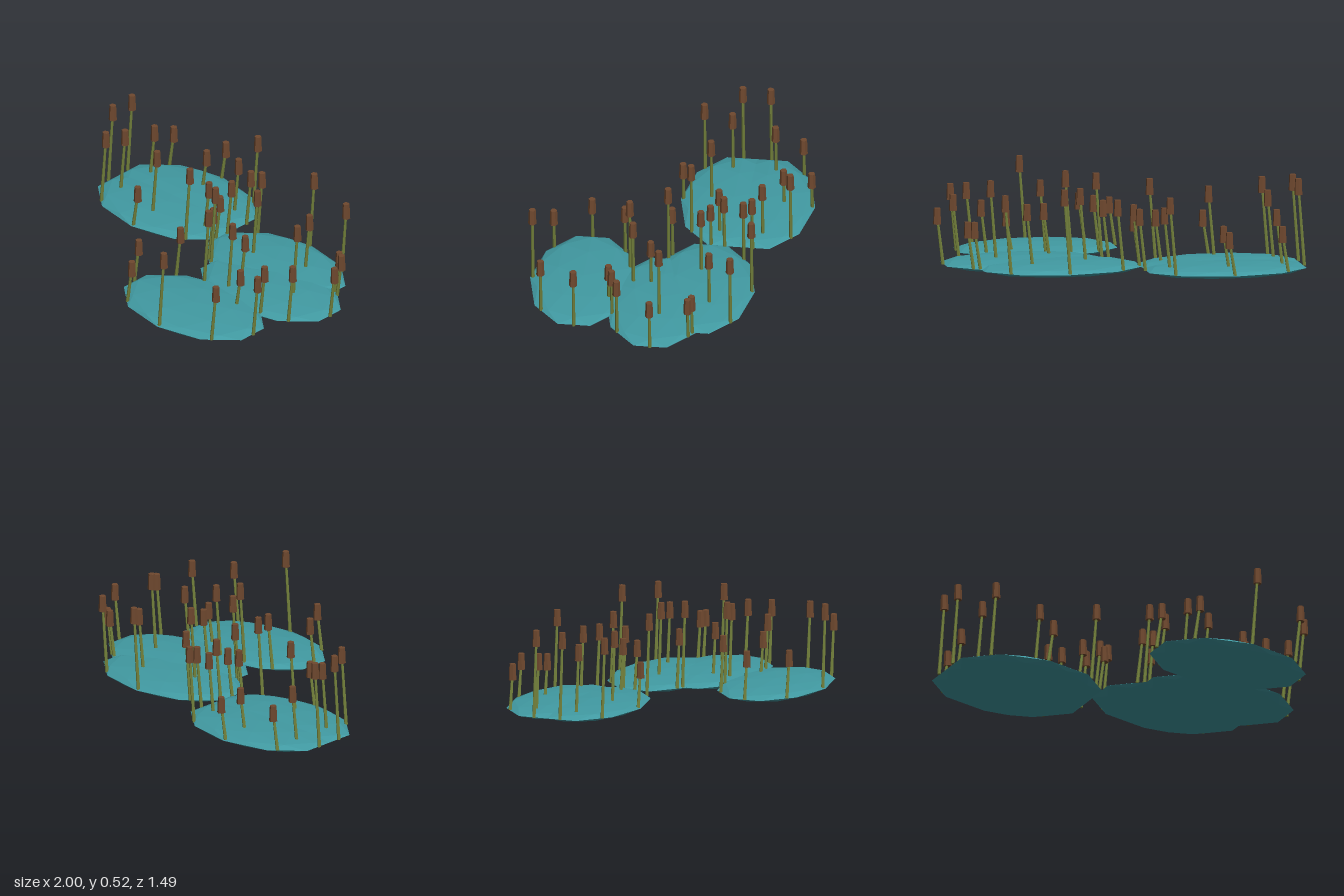
import * as THREE from 'three';

const flat = (name, color) => {
  const m = new THREE.MeshStandardMaterial({ color, flatShading: true });
  m.name = name;
  return m;
};

// Each pool: centre x, z, and head-top heights of its eight reeds,
// counted from the left-hand (+x) reed towards the front, 45 degrees apart.
const POOLS = [
  [-0.545, -0.446, [0.38, 0.34, 0.45, 0.43, 0.52, 0.29, 0.28, 0.47]],
  [-0.545, -0.291, [0.38, 0.49, 0.29, 0.48, 0.52, 0.36, 0.29, 0.39]],
  [0.332, -0.215, [0.30, 0.495, 0.345, 0.365, 0.31, 0.43, 0.51, 0.475]],
  [0.497, 0, [0.35, 0.39, 0.28, 0.50, 0.515, 0.465, 0.40, 0.30]],
  [0.33, 0.44, [0.41, 0.38, 0.505, 0.30, 0.305, 0.35, 0.46, 0.345]],
];
const RIM_X = 0.446, RIM_Z = 0.278, RIM_Y = 0.036;
const HEAD_HEIGHT = 0.09, LEAN = 0.033;

export function createModel() {
  const water = flat('teal water', 0x419aa2);
  const green = flat('olive stem', 0x74823c);
  const brown = flat('brown seed head', 0x70492f);
  const root = new THREE.Group();
  root.name = 'reedPools';

  // Faceted lens with a ten-sided rim
  const poolGeo = new THREE.IcosahedronGeometry(1, 1);
  poolGeo.rotateZ(Math.atan(2 / (1 + Math.sqrt(5))));
  poolGeo.scale(0.464, RIM_Y, 0.294);
  poolGeo.computeVertexNormals();

  const headGeo = new THREE.CylinderGeometry(0.019, 0.023, HEAD_HEIGHT, 6);
  const stemGeo = new THREE.CylinderGeometry(0.007, 0.01, 1, 6);

  // Leaning stem with an upright seed head
  const makeReed = (x, z, top) => {
    const reed = new THREE.Group();
    reed.name = 'reed';
    const foot = new THREE.Vector3(x, RIM_Y, z);
    const tip = new THREE.Vector3(x + LEAN, top - HEAD_HEIGHT / 2, z);
    const along = tip.clone().sub(foot);
    const stem = new THREE.Mesh(stemGeo, green);
    stem.name = 'stem';
    stem.position.copy(foot).lerp(tip, 0.5);
    stem.scale.y = along.length();
    stem.quaternion.setFromUnitVectors(new THREE.Vector3(0, 1, 0), along.normalize());
    const head = new THREE.Mesh(headGeo, brown);
    head.name = 'seedHead';
    head.position.copy(tip);
    reed.add(stem, head);
    return reed;
  };

  for (const [x, z, tops] of POOLS) {
    const group = new THREE.Group();
    group.name = 'poolWithReeds';
    const pool = new THREE.Mesh(poolGeo, water);
    pool.name = 'pool';
    pool.position.set(x, RIM_Y, z);
    group.add(pool);
    tops.forEach((top, i) => {
      const a = (i * Math.PI) / 4;
      group.add(makeReed(x + RIM_X * Math.cos(a), z + RIM_Z * Math.sin(a), top));
    });
    root.add(group);
  }
  return root;
}
